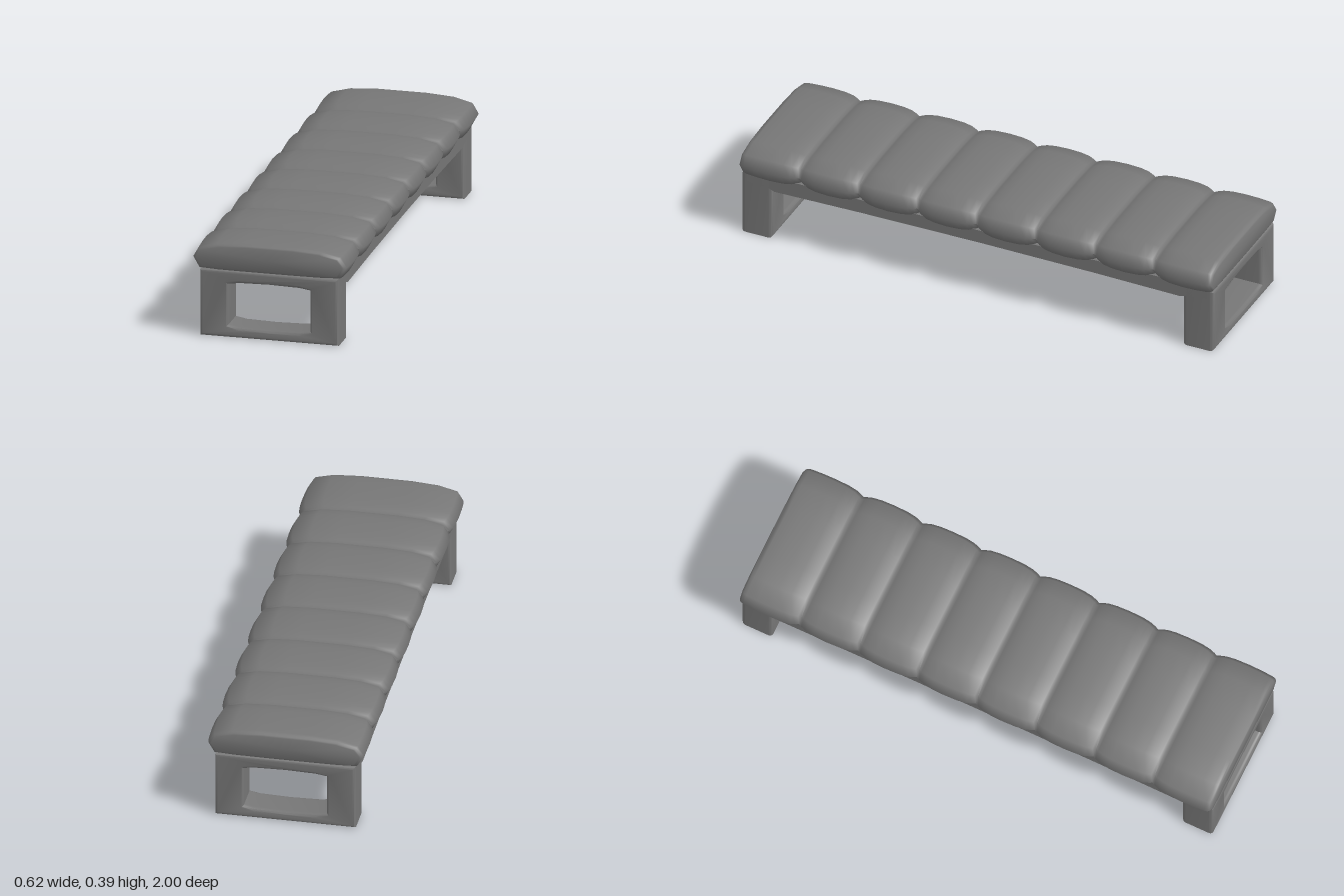
import * as THREE from 'three';
import { toCreasedNormals } from 'three/addons/utils/BufferGeometryUtils.js';

const material = new THREE.MeshStandardMaterial({ color: 0x767676 });

// Right half of the padding's cross-section, from top centre to bottom centre
const HALF = [[0, 0.386], [0.1, 0.386], [0.21, 0.378], [0.284, 0.357], [0.308, 0.313],
  [0.284, 0.267], [0.21, 0.263], [0.1, 0.262], [0, 0.262]];
const MID_Y = 0.32;

// Padding: the cross-section lofted along z, pinched at each seam and rounded at both ends
function paddingGeometry(count) {
  const ring = [...HALF, ...HALF.slice(1, -1).reverse().map(([x, y]) => [-x, y])];
  const seam = [[0.012, 0.015], [0.035, 0.007], [0.07, 0.002]];
  const end = [[0, 0.018], [0.003, 0.012], [0.009, 0.007], [0.022, 0.004], [0.07, 0.001]];
  const pitch = 2 / count, sections = [];
  for (let i = 0; i < count; i++) {
    const z = -1 + i * pitch;
    const start = i === 0 ? end : seam, finish = i === count - 1 ? end : seam;
    if (i > 0) sections.push([z, 0.021]);
    sections.push(...start.map(([d, inset]) => [z + d, inset]), [z + pitch / 2, 0]);
    sections.push(...finish.map(([d, inset]) => [z + pitch - d, inset]).reverse());
  }
  const n = ring.length, pos = [], idx = [];
  for (const [z, inset] of sections) {
    const sx = 1 - inset / 0.308, sy = 1 - inset / 0.062;
    for (const [x, y] of ring) pos.push(x * sx, MID_Y + (y - MID_Y) * sy, z);
  }
  const back = sections.length * n, front = back + 1, last = back - n;
  pos.push(0, MID_Y, -1, 0, MID_Y, 1);
  for (let j = 0; j < n; j++) {
    const k = (j + 1) % n;
    for (let i = 0; i < sections.length - 1; i++) {
      const a = i * n + j, b = i * n + k;
      idx.push(a, a + n, b, b, a + n, b + n);
    }
    idx.push(back, j, k, front, last + k, last + j);
  }
  const geo = new THREE.BufferGeometry();
  geo.setAttribute('position', new THREE.Float32BufferAttribute(pos, 3));
  geo.setIndex(idx);
  return toCreasedNormals(geo, 1.15);
}

const toPoints = (list) => list.map(([x, y]) => new THREE.Vector2(x, y));

// Leg frame: a slab with rounded edges and a softly bowed window through it
function legGeometry() {
  const b = 0.012, t = 0.016, w = 0.275 - b, top = 0.27 - b;
  const shape = new THREE.Shape(toPoints([[-w, b], [w, b], [w, top], [-w, top]]));
  const g = 0.162 + b;
  shape.holes.push(new THREE.Path(toPoints([
    [-g, 0.053 - b], [-g, 0.212 + b], [-0.12, 0.22 + b], [0, 0.223 + b], [0.12, 0.22 + b],
    [g, 0.212 + b], [g, 0.053 - b], [0.12, 0.043 - b], [0, 0.04 - b], [-0.12, 0.043 - b],
  ])));
  const geo = new THREE.ExtrudeGeometry(shape, {
    depth: 0.13 - 2 * t, bevelEnabled: true, bevelSize: b, bevelThickness: t, bevelSegments: 6,
  });
  geo.translate(0, 0, t - 0.065);
  return toCreasedNormals(geo, 0.7);
}

// Deck: side profile with a slightly arched underside, extruded across the width
function deckGeometry() {
  const shape = new THREE.Shape(toPoints([
    [-0.88, 0.224], [-0.86, 0.216], [-0.5, 0.222], [0, 0.225], [0.5, 0.222], [0.86, 0.216],
    [0.88, 0.224], [0.975, 0.235], [0.975, 0.28], [-0.975, 0.28], [-0.975, 0.235],
  ]));
  const geo = new THREE.ExtrudeGeometry(shape, { depth: 0.55, bevelEnabled: false });
  geo.translate(0, 0, -0.275);
  geo.rotateY(Math.PI / 2);
  return toCreasedNormals(geo, 0.3);
}

export function createModel() {
  const bench = new THREE.Group();
  bench.name = 'bench';
  const add = (name, geo, z = 0) => {
    const mesh = new THREE.Mesh(geo, material);
    mesh.name = name;
    mesh.position.z = z;
    bench.add(mesh);
  };

  add('deck', deckGeometry());

  // Leg frame at each end
  const leg = legGeometry();
  add('frontLeg', leg, 0.935);
  add('backLeg', leg, -0.935);

  // Seat padding in eight puffed segments
  add('seatPadding', paddingGeometry(8));
  return bench;
}
